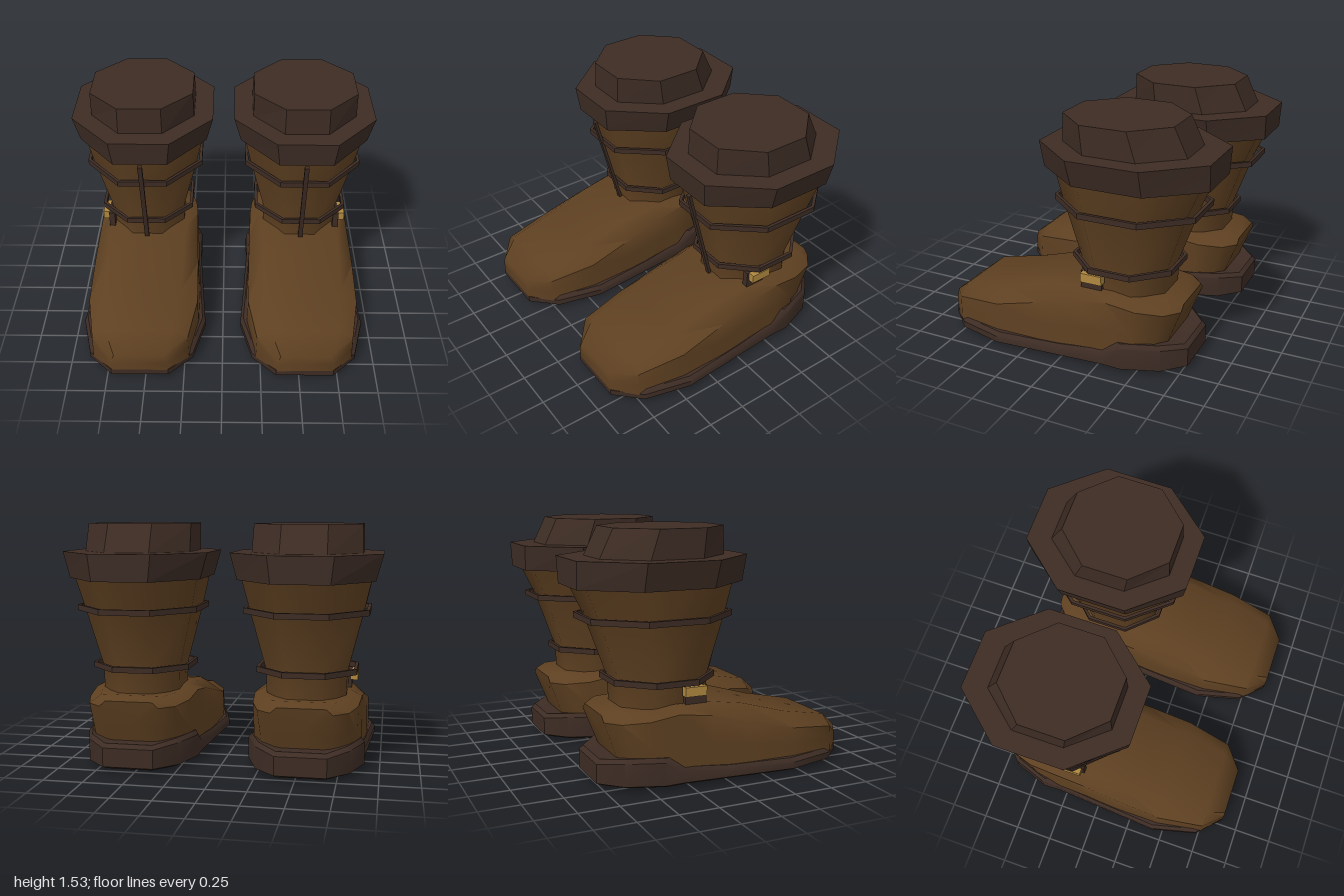
import * as THREE from 'three';
import { toCreasedNormals } from 'three/addons/utils/BufferGeometryUtils.js';

const CZ = -0.35; // centre of the shaft

// Skin a list of closed rings of [x, y, z], with end caps
function loft(rings, crease, caps = true) {
  const pos = [], n = rings[0].length;
  const tri = (a, b, c) => pos.push(...a, ...b, ...c);
  for (let i = 0; i < rings.length - 1; i++) {
    for (let j = 0; j < n; j++) {
      const k = (j + 1) % n, lo = rings[i], hi = rings[i + 1];
      tri(lo[j], hi[j], lo[k]);
      tri(lo[k], hi[j], hi[k]);
    }
  }
  if (caps) {
    const first = rings[0], last = rings[rings.length - 1];
    const mid = r => [0, 1, 2].map(a => r.reduce((s, p) => s + p[a], 0) / n);
    const m0 = mid(first), m1 = mid(last);
    for (let j = 0; j < n; j++) {
      const k = (j + 1) % n;
      tri(m0, first[j], first[k]);
      tri(m1, last[k], last[j]);
    }
  }
  const g = new THREE.BufferGeometry();
  g.setAttribute('position', new THREE.Float32BufferAttribute(pos, 3));
  return toCreasedNormals(g, crease);
}

// Octagon with flats on the four sides: half width, front z, back z, height
function octagon(hw, zf, zb, y) {
  const r = 1 / Math.cos(Math.PI / 8);
  return Array.from({ length: 8 }, (_, i) => {
    const a = Math.PI / 8 + i * Math.PI / 4;
    return [hw * r * Math.cos(a), y, (zf + zb) / 2 + (zf - zb) / 2 * r * Math.sin(a)];
  });
}

// Sole outline, heel to toe: z, half width, top height
const SOLE = [
  [-0.78, 0.16, 0.18], [-0.65, 0.29, 0.2], [-0.42, 0.37, 0.2], [-0.3, 0.365, 0.13],
  [0, 0.385, 0.105], [0.43, 0.415, 0.1], [0.73, 0.34, 0.1], [0.885, 0.185, 0.1],
];
function soleRing(sx, sz, height) {
  const side = s => SOLE.map(([z, w, h]) => [s * w * sx, height(h), 0.055 + (z - 0.055) * sz]);
  return [...side(1), ...side(-1).reverse()];
}

// Foot sections, toe to heel: top z, bottom z, half width, shoulder y and half width, top y and half width
const FOOT = [
  [0.885, 0.885, 0.18, 0.15, 0.18, 0.2, 0.16],
  [0.76, 0.76, 0.315, 0.24, 0.31, 0.3, 0.22],
  [0.45, 0.45, 0.37, 0.28, 0.365, 0.36, 0.25],
  [0.14, 0.14, 0.37, 0.36, 0.36, 0.45, 0.26],
  [-0.1, -0.1, 0.355, 0.42, 0.35, 0.49, 0.27],
  [-0.32, -0.32, 0.35, 0.45, 0.345, 0.49, 0.27],
  [-0.5, -0.47, 0.32, 0.42, 0.33, 0.465, 0.25],
  [-0.66, -0.57, 0.25, 0.41, 0.28, 0.47, 0.2],
  [-0.74, -0.61, 0.16, 0.41, 0.19, 0.445, 0.15],
];
function footRing([zt, zb, w, ys, ws, yt, wt]) {
  const half = [[w, 0.07, zb], [(w + ws) / 2, (0.07 + ys) / 2, (zb + zt) / 2], [ws, ys, zt], [wt, yt, zt]];
  return [...half, ...half.map(([x, y, z]) => [-x, y, z]).reverse()];
}

export function createModel() {
  const mat = (name, color) => Object.assign(new THREE.MeshStandardMaterial({ color }), { name });
  const leather = mat('brown leather', 0x5e4021);
  const dark = mat('dark leather', 0x3d2c24);
  const brass = mat('brass', 0xb0883f);
  const SMOOTH = 0.9, FLAT = 0.1;

  const foot = loft(FOOT.map(footRing), SMOOTH);
  const sole = loft([
    soleRing(0.9, 0.95, () => 0.015),
    soleRing(1, 1, () => 0.035),
    soleRing(1, 1, h => h - 0.025),
    soleRing(0.95, 0.97, h => h),
  ], 0.7);
  const tread = loft([
    soleRing(0.66, 0.76, () => 0),
    soleRing(0.72, 0.8, () => 0.018),
  ], FLAT);
  const shaft = loft([
    octagon(0.25, -0.04, -0.6, 0.44),
    octagon(0.255, -0.03, -0.61, 0.62),
    octagon(0.35, 0.07, -0.74, 1.0),
    octagon(0.4, 0.12, -0.84, 1.22),
  ], SMOOTH);
  const cuff = loft([
    octagon(0.42, 0.175, -0.885, 1.195),
    octagon(0.465, 0.195, -0.89, 1.36),
  ], FLAT);
  const collar = loft([
    octagon(0.34, 0.065, -0.74, 1.35),
    octagon(0.335, 0.06, -0.65, 1.535),
  ], FLAT);

  // Thin hoop standing a little off the shaft
  function hoop(hw, zf, zb, y) {
    const t = 0.02, h = 0.018;
    const out = dy => octagon(hw, zf, zb, y + dy), inn = dy => octagon(hw - t, zf - t, zb + t, y + dy);
    return loft([inn(-h), out(-h), out(h), inn(h), inn(-h)], FLAT, false);
  }
  const upperStrap = hoop(0.388, 0.115, -0.8, 1.003);
  const lowerStrap = hoop(0.315, 0.01, -0.65, 0.625);

  function boot(side) {
    const g = new THREE.Group();
    g.name = side > 0 ? 'leftBoot' : 'rightBoot';
    g.position.x = side * 0.535;
    const add = (name, geo, m, x = 0, y = 0, z = 0) => {
      const mesh = new THREE.Mesh(geo, m);
      mesh.name = name;
      mesh.position.set(x, y, z);
      g.add(mesh);
      return mesh;
    };
    add('foot', foot, leather);
    add('sole', sole, dark);
    add('tread', tread, leather);
    add('shaft', shaft, leather);
    add('cuff', cuff, dark);
    add('collar', collar, dark);
    add('upperStrap', upperStrap, dark);
    add('lowerStrap', lowerStrap, dark);
    // Leaning strip down the front of the shaft
    const strip = add('frontStrip', new THREE.BoxGeometry(0.03, 0.715, 0.02), dark, side * 0.003, 0.825, 0.073);
    strip.rotation.x = Math.atan2(0.18, 0.69);
    // Ankle tab and buckle on the outer side
    add('ankleTab', new THREE.BoxGeometry(0.04, 0.13, 0.14), dark, side * 0.255, 0.535, -0.185);
    add('buckle', new THREE.BoxGeometry(0.05, 0.058, 0.14), brass, side * 0.29, 0.57, -0.2);
    return g;
  }

  const model = new THREE.Group();
  model.name = 'boots';
  model.add(boot(1), boot(-1));
  return model;
}
